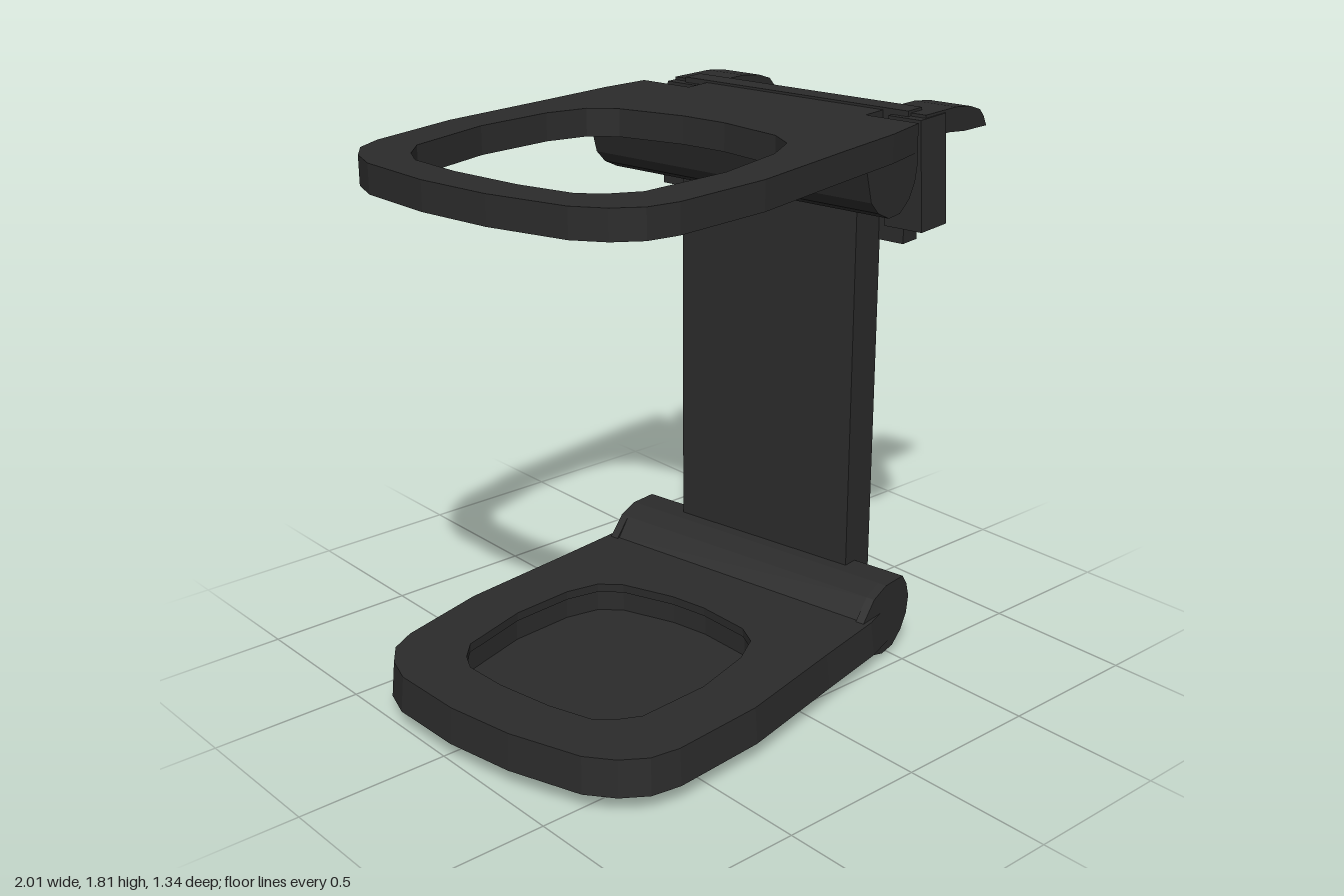
import * as THREE from 'three';

const black = new THREE.MeshStandardMaterial({ color: 0x2b2b2b });
black.name = 'matte black plastic';

// half outlines as [length, half width], running from the rounded tip to the hinge
const OUTER = [[-0.99, 0.12], [-0.95, 0.375], [-0.9, 0.47], [-0.83, 0.538], [-0.735, 0.571], [-0.41, 0.602], [0, 0.58], [0.275, 0.568]];
const HOLE = [[-0.865, 0.12], [-0.84, 0.3], [-0.79, 0.37], [-0.71, 0.43], [-0.41, 0.468], [-0.15, 0.441], [-0.02, 0.39], [0.04, 0.305], [0.083, 0.08]];
const CENTER = -0.39;

const scaled = (pts, k) => pts.map(([u, v]) => [CENTER + (u - CENTER) * k, v * k]);
const mirrored = (pts) => [...pts, ...pts.map(([u, v]) => [u, -v]).reverse()].map(([u, v]) => new THREE.Vector2(u, v));

function mesh(name, geometry) {
  const m = new THREE.Mesh(geometry, black);
  m.name = name;
  return m;
}

// horizontal slab between two heights, with an optional opening
function slab(name, half, hole, y0, y1, draft = 0) {
  const shape = new THREE.Shape(mirrored(half).reverse());
  if (hole) shape.holes.push(new THREE.Path(mirrored(hole)));
  const g = new THREE.ExtrudeGeometry(shape, { depth: y1 - y0, bevelEnabled: false });
  g.rotateX(-Math.PI / 2).translate(0, y0, 0);
  if (draft) {
    const p = g.attributes.position;
    for (let i = 0; i < p.count; i++) {
      const k = 1 - draft * (p.getY(i) - 0.06);
      p.setX(i, CENTER + (p.getX(i) - CENTER) * k);
      p.setZ(i, p.getZ(i) * k);
    }
    g.computeVertexNormals();
  }
  return mesh(name, g);
}

// side profile [length, height] swept across the width
function sweep(name, profile, z0, z1) {
  const shape = new THREE.Shape(profile.map(([u, y]) => new THREE.Vector2(u, y)));
  const g = new THREE.ExtrudeGeometry(shape, { depth: z1 - z0, bevelEnabled: false });
  return mesh(name, g.translate(0, 0, z0));
}

function box(name, u0, u1, y0, y1, z0, z1) {
  const g = new THREE.BoxGeometry(u1 - u0, y1 - y0, z1 - z0);
  return mesh(name, g.translate((u0 + u1) / 2, (y0 + y1) / 2, (z0 + z1) / 2));
}

export function createModel() {
  const holder = new THREE.Group();
  holder.name = 'foldingCupHolder';
  holder.position.set(-0.0035, 0, -0.016);
  holder.rotation.y = THREE.MathUtils.degToRad(10);

  // upright and the wider mounting plate behind it
  holder.add(box('post', 0.415, 0.552, 0, 1.79, -0.352, 0.352));
  holder.add(box('mountingPlate', 0.545, 0.625, 1.38, 1.808, -0.445, 0.445));

  // upper ring with notched hinge end
  holder.add(slab('upperRing', [...OUTER, [0.447, 0.545], [0.447, 0.352], [0.57, 0.352]], HOLE, 1.71, 1.8));
  holder.add(sweep('upperHinge', [
    [0.165, 1.72], [0.2, 1.6], [0.24, 1.56], [0.3, 1.532], [0.36, 1.535], [0.41, 1.57],
    [0.44, 1.62], [0.452, 1.68], [0.447, 1.74], [0.43, 1.795], [0.2, 1.795],
  ], -0.545, 0.545));

  // lower tray: hollow shell with a sunken cup well
  const well = scaled(HOLE, 0.85);
  const trayEnd = [...OUTER, [0.4, 0.545]];
  holder.add(slab('trayTop', trayEnd, well, 0.15, 0.18, 0.13));
  holder.add(slab('trayRim', trayEnd, [...scaled(OUTER, 0.95), [0.34, 0.515]], 0.06, 0.15, 0.13));
  holder.add(slab('wellWall', scaled(HOLE, 0.88), well, 0.07, 0.155));
  holder.add(slab('wellFloor', scaled(HOLE, 0.88), null, 0.062, 0.08));

  // lower hinge: a web open toward the post, closed by round end caps
  holder.add(sweep('lowerHingeWeb', [
    [0.25, 0.18], [0.26, 0.06], [0.4, 0.06], [0.405, 0.13], [0.425, 0.19], [0.47, 0.268],
    [0.37, 0.27], [0.3, 0.245],
  ], -0.53, 0.53));
  for (const z of [-0.545, 0.515]) {
    holder.add(sweep('lowerHingeCap', [
      [0.24, 0.18], [0.25, 0.06], [0.3, 0.04], [0.36, 0.023], [0.42, 0.03], [0.47, 0.07], [0.5, 0.12],
      [0.51, 0.18], [0.495, 0.23], [0.47, 0.268], [0.37, 0.27], [0.3, 0.245],
    ], z, z + 0.03));
  }

  // pair of clips: an upright arm with a hook curving outward
  for (const side of [-1, 1]) {
    const clip = new THREE.Group();
    clip.name = side > 0 ? 'leftClip' : 'rightClip';
    const arm = box('clipArm', 0.524, 0.67, 1.435, 1.79, side > 0 ? 0.385 : -0.525, side > 0 ? 0.525 : -0.385);
    const p = arm.geometry.attributes.position;
    for (let i = 0; i < p.count; i++) {
      if (p.getY(i) > 1.6 && Math.abs(p.getZ(i)) > 0.5) p.setZ(i, side * 0.505);
    }
    arm.geometry.computeVertexNormals();
    const hook = sweep('clipHook', [
      [0.56, 1.72], [0.7, 1.722], [0.8, 1.71], [0.935, 1.705], [0.915, 1.74], [0.89, 1.765],
      [0.83, 1.785], [0.74, 1.797], [0.56, 1.8],
    ], side > 0 ? 0.345 : -0.5, side > 0 ? 0.5 : -0.345);
    clip.add(arm, hook);
    holder.add(clip);
  }

  const model = new THREE.Group();
  model.name = 'cupHolder';
  model.add(holder);
  return model;
}
